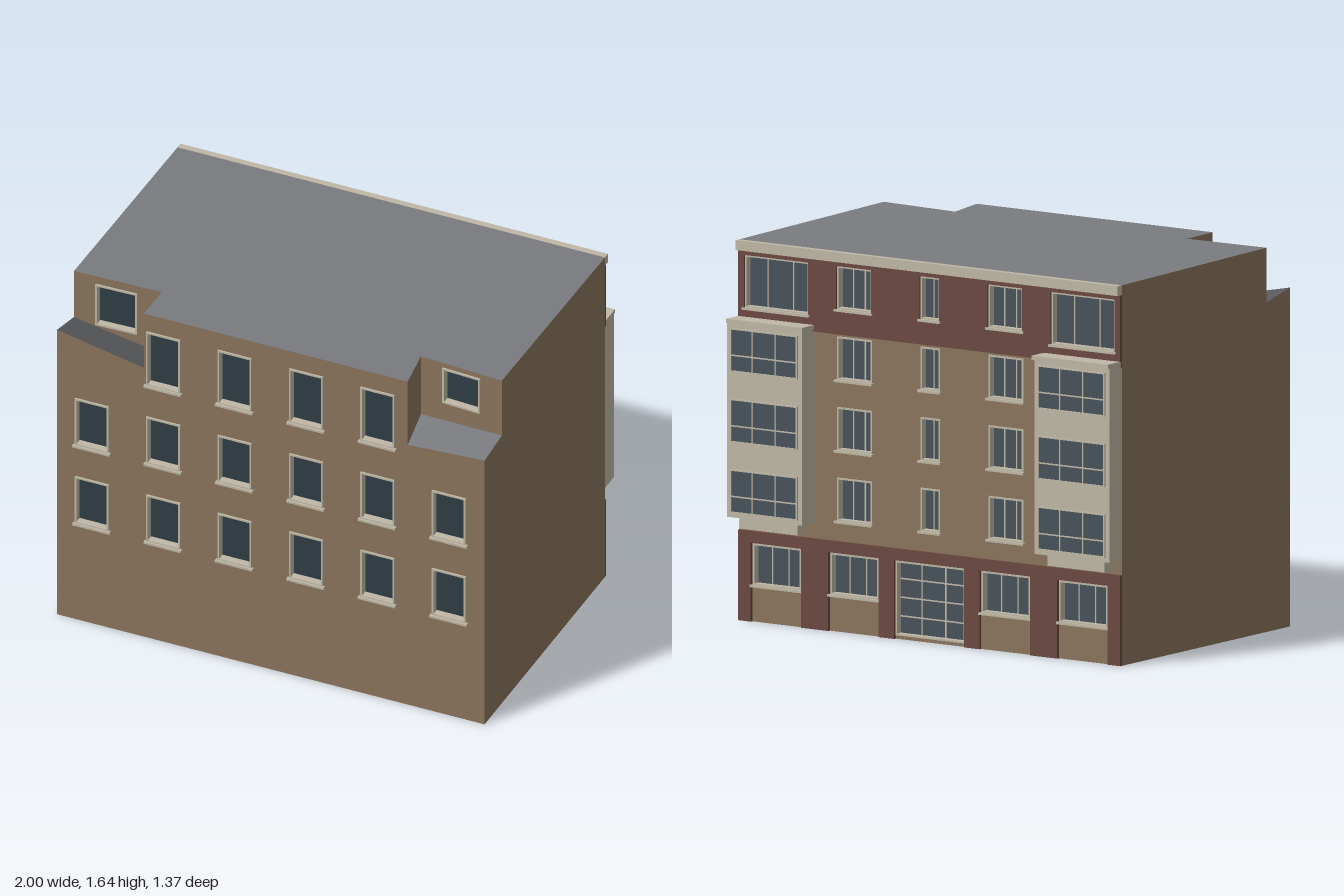
import * as THREE from 'three';

const COLORS = {
  wall: 0x8a755d, red: 0x6b483f, trim: 0xbfb8a6, roof: 0x7a7b7f,
  darkRoof: 0x58595c, frontGlass: 0x2f3d45, backGlass: 0x46515a,
};
const mats = {};
for (const [k, color] of Object.entries(COLORS)) {
  mats[k] = new THREE.MeshStandardMaterial({ color, side: THREE.DoubleSide });
}

const W = 0.985, D = 0.605;               // half width and half depth
const roofY = (z) => 1.626 + 0.015 * z;   // roof falls slightly to the back

function add(parent, name, geo, mat) {
  const m = new THREE.Mesh(geo, mats[mat]);
  m.name = name;
  parent.add(m);
  return m;
}

// Box given by its minimum corner and size
function box(parent, name, mat, x, y, z, w, h, d) {
  add(parent, name, new THREE.BoxGeometry(w, h, d), mat).position.set(x + w / 2, y + h / 2, z + d / 2);
}

const rect = (x, y, w, h) => [[x, y], [x + w, y], [x + w, y + h], [x, y + h]];

// Flat outline with rectangular openings [x, y, w, h]
function outline(pts, openings = []) {
  const s = new THREE.Shape(pts.map(([x, y]) => new THREE.Vector2(x, y)));
  for (const o of openings) {
    s.holes.push(new THREE.Path(rect(...o).reverse().map(([x, y]) => new THREE.Vector2(x, y))));
  }
  return s;
}

function slab(parent, name, mat, pts, openings, z, depth) {
  const geo = new THREE.ExtrudeGeometry(outline(pts, openings), { depth, bevelEnabled: false });
  add(parent, name, geo, mat).position.z = z;
}

// Polygon over a list of 3D points, cut into triangles by its plan or elevation
function panel(parent, name, mat, pts, vertical = false) {
  const flat = pts.map(([x, y, z]) => new THREE.Vector2(vertical ? z : x, vertical ? y : -z));
  const geo = new THREE.BufferGeometry();
  geo.setAttribute('position', new THREE.Float32BufferAttribute(pts.flat(), 3));
  geo.setIndex(THREE.ShapeUtils.triangulateShape(flat, []).flat());
  geo.computeVertexNormals();
  add(parent, name, geo, mat);
}

// Window facing +z: frame ring, glass, glazing bars, optional sill
function windowUnit(parent, [x, y, w, h], opt = {}) {
  const { cols = [], rows = [], glass = 'backGlass', sill = true, back = -0.03, front = 0.008, t = 0.008 } = opt;
  const g = new THREE.Group();
  g.name = 'window';
  parent.add(g);
  slab(g, 'windowFrame', 'trim', rect(x, y, w, h), [[x + t, y + t, w - 2 * t, h - 2 * t]], back, front - back);
  const gz = back + 0.002;
  box(g, 'glass', glass, x + t, y + t, gz, w - 2 * t, h - 2 * t, 0.002);
  for (const c of cols) box(g, 'mullion', 'trim', x + w * c - 0.003, y + t, gz + 0.002, 0.006, h - 2 * t, 0.003);
  for (const r of rows) box(g, 'glazingBar', 'trim', x + t, y + h * r - 0.003, gz + 0.002, w - 2 * t, 0.006, 0.003);
  if (sill) box(g, 'sill', 'trim', x - 0.008, y - 0.008, -0.005, w + 0.016, 0.01, 0.022);
}

// Group for a wall plane, turned about y
function wallGroup(parent, name, x, z, turn) {
  const g = new THREE.Group();
  g.name = name;
  g.position.set(x, 0, z);
  g.rotation.y = turn;
  parent.add(g);
  return g;
}

function buildFront(b) {
  const g = wallGroup(b, 'frontFacade', 0, D, 0);
  const wins = [];
  for (let i = 0; i < 6; i++) {
    const x = 0.329 * (i - 2.5) - 0.078;
    wins.push([x, 0.49, 0.156, 0.235], [x, 0.885, 0.156, 0.235]);
    if (i > 0 && i < 5) wins.push([x, 1.28, 0.156, 0.27]);
  }
  const top = roofY(D);
  const pts = [[-W, 0], [W, 0], [W, 1.335], [0.631, 1.315], [0.631, top], [-0.585, top], [-0.585, 1.36], [-W, 1.44]];
  add(g, 'frontWall', new THREE.ShapeGeometry(outline(pts, wins)), 'wall');
  wins.forEach((o) => windowUnit(g, o, { glass: 'frontGlass' }));
}

// Corner terraces cut into the top front corners
function buildTerraces(b) {
  const leftWall = wallGroup(b, 'rightTerraceWall', -W, 0.435, 0.0275);
  const o1 = [0.1, 1.39, 0.19, 0.205];
  add(leftWall, 'terraceWall', new THREE.ShapeGeometry(
    outline([[0, 1.3], [0.4, 1.3], [0.4, roofY(0.424)], [0, roofY(0.435)]], [o1])), 'wall');
  windowUnit(leftWall, o1, { glass: 'frontGlass', sill: false });
  panel(b, 'terraceFloor', 'darkRoof', [[-W, 1.44, D], [-0.585, 1.36, D], [-0.585, 1.32, 0.424], [-W, 1.4, 0.435]]);
  panel(b, 'terraceCheek', 'wall',
    [[-0.585, 1.32, 0.424], [-0.585, 1.36, D], [-0.585, roofY(D), D], [-0.585, roofY(0.424), 0.424]], true);

  const rightWall = wallGroup(b, 'leftTerraceWall', 0.601, 0.407, -0.0624);
  const o2 = [0.105, 1.435, 0.178, 0.175];
  add(rightWall, 'terraceWall', new THREE.ShapeGeometry(
    outline([[0, 1.34], [0.385, 1.355], [0.385, roofY(0.431)], [0, roofY(0.407)]], [o2])), 'wall');
  windowUnit(rightWall, o2, { glass: 'frontGlass', sill: false });
  panel(b, 'terraceFloor', 'roof', [[0.631, 1.315, D], [W, 1.335, D], [W, 1.355, 0.431], [0.601, 1.34, 0.407]]);
  panel(b, 'terraceCheek', 'wall',
    [[0.601, 1.34, 0.407], [0.631, 1.315, D], [0.631, roofY(D), D], [0.601, roofY(0.407), 0.407]], true);
}

function buildBay(g, side) {
  const bay = new THREE.Group();
  bay.name = 'bayWindow';
  g.add(bay);
  const w = 0.385, x = side > 0 ? W - w : -W;
  box(bay, 'bayBody', 'trim', x, 0.45, 0, w, 0.825, 0.09);
  box(bay, 'bayRoof', 'trim', x - (side > 0 ? 0.008 : 0), 1.275, 0, w + 0.008, 0.018, 0.1);
  box(bay, 'bayBracket', 'trim', x + 0.045, 0.4, 0, w - 0.09, 0.05, 0.06);
  const front = wallGroup(bay, 'bayFront', 0, 0.09, 0);
  for (let i = 0; i < 3; i++) {
    windowUnit(front, [x + 0.02, 0.47 + 0.3 * i, w - 0.04, 0.185],
      { cols: [0.33, 0.67], rows: [0.38], sill: false, back: 0, t: 0.006 });
  }
}

function buildBack(b) {
  const g = wallGroup(b, 'backFacade', 0, -D, Math.PI);
  const units = [];
  // Centre columns over four storeys
  for (let i = 0; i < 4; i++) {
    const y = 0.47 + 0.3 * i;
    for (const s of [-1, 1]) units.push([[s * 0.39 - 0.09, y, 0.18, 0.185], { cols: [0.36, 0.7] }]);
    units.push([[-0.05, y, 0.1, 0.185], { cols: [0.5] }]);
  }
  // Wide corner windows on the top floor, shop windows and entrance below
  for (const s of [-1, 1]) {
    units.push([[s * 0.79 - 0.165, 1.33, 0.33, 0.225], { cols: [0.3, 0.7] }]);
    for (const c of [0.39, 0.79]) units.push([[s * c - 0.125, 0.155, 0.25, 0.178], { cols: [0.33, 0.67] }]);
  }
  units.push([[-0.18, 0.015, 0.36, 0.318], { cols: [0.33, 0.67], rows: [0.25, 0.5, 0.75], sill: false }]);
  const holes = units.map((u) => u[0]);
  const top = roofY(-D);
  add(g, 'backWall', new THREE.ShapeGeometry(outline(rect(-W, 0, 2 * W, top), holes)), 'wall');
  units.forEach(([o, opt]) => windowUnit(g, o, { front: 0.004, ...opt }));

  // Red cladding: top storey band, ground storey lintel and piers
  slab(g, 'topCladding', 'red', rect(-W, 1.265, 2 * W, 0.31), holes.filter((o) => o[1] > 1.3), 0, 0.012);
  box(g, 'lintel', 'red', -W, 0.335, 0, 2 * W, 0.05, 0.012);
  for (const s of [-1, 1]) {
    for (const [a, c] of [[0.18, 0.26], [0.52, 0.66], [0.92, W]]) {
      box(g, 'pier', 'red', s > 0 ? a : -c, 0, 0, c - a, 0.335, 0.012);
    }
    buildBay(g, s);
  }
  box(g, 'cornice', 'trim', -W, 1.575, 0, 2 * W, top - 1.575, 0.03);
}

export function createModel() {
  const model = new THREE.Group();
  model.name = 'apartmentBuilding';
  const b = wallGroup(model, 'building', 0, 0.042, 0.0235);

  buildFront(b);
  buildTerraces(b);
  buildBack(b);

  // Side walls, stepped down at the terraces
  for (const [name, x, z, front, back] of [['leftWall', W, 0.431, 1.335, 1.355], ['rightWall', -W, 0.435, 1.44, 1.4]]) {
    panel(b, name, 'wall', [[x, 0, -D], [x, 0, D], [x, front, D], [x, back, z], [x, roofY(z), z], [x, roofY(-D), -D]], true);
  }

  // Roof
  const plan = [[-W, -D], [-W, 0.435], [-0.585, 0.424], [-0.585, D], [0.631, D], [0.601, 0.407], [W, 0.431], [W, -D]];
  panel(b, 'roof', 'roof', plan.map(([x, z]) => [x, roofY(z), z]));
  return model;
}
